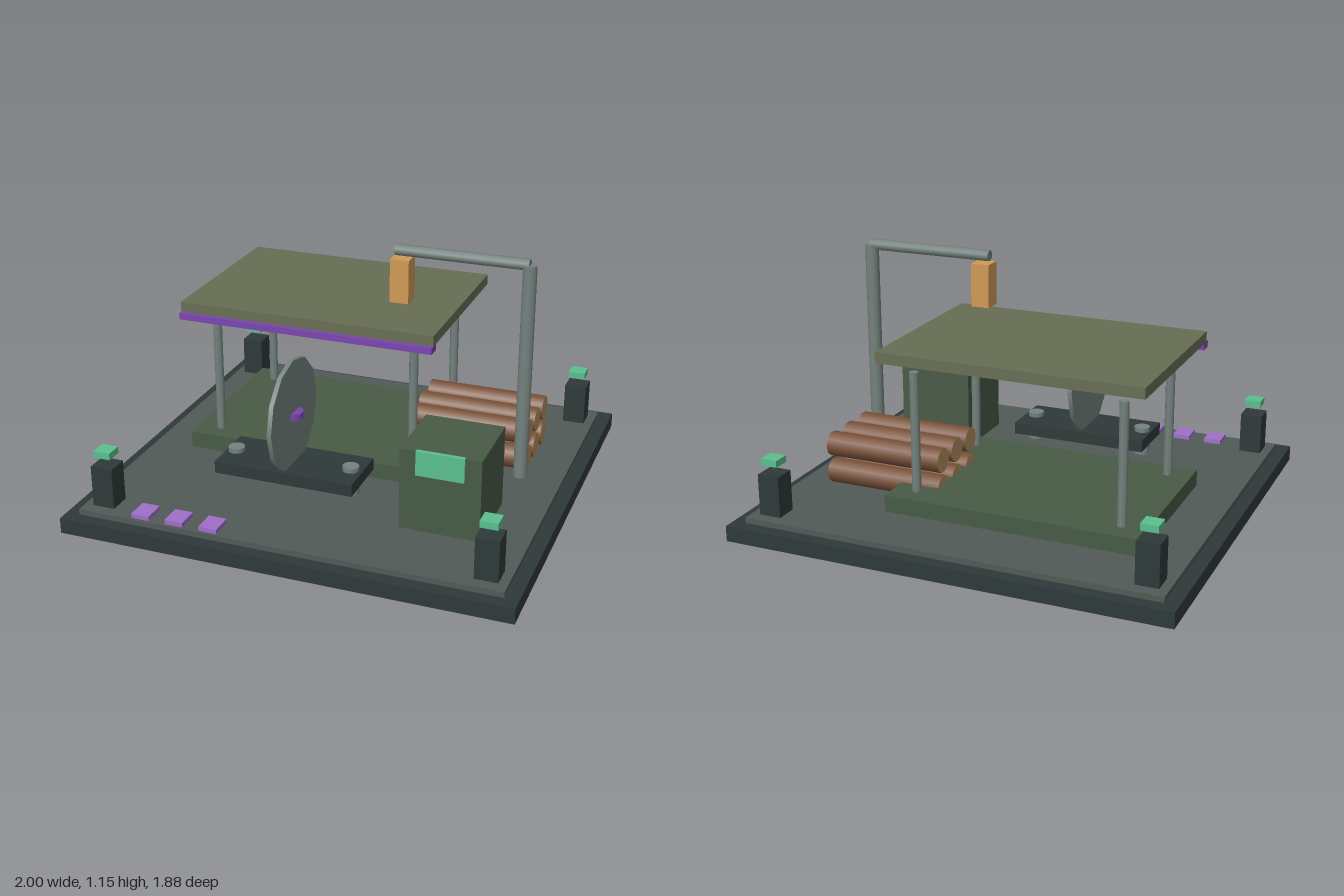
import * as THREE from 'three';

const paint = (color) => new THREE.MeshStandardMaterial({ color });

export function createModel() {
  const model = new THREE.Group();
  const dark = paint(0x2f3939), floor = paint(0x515a56), green = paint(0x485a46);
  const olive = paint(0x676e54), steel = paint(0x74827e), mint = paint(0x5abf8e);
  const purple = paint(0x7a45b0), lilac = paint(0xa06fc8), amber = paint(0xd09a55);
  const bark = paint(0x7a533b), cutWood = paint(0xb08d5c);

  // box given by its extents on each axis
  const box = (name, mat, [x0, x1], [y0, y1], [z0, z1]) => {
    const mesh = new THREE.Mesh(new THREE.BoxGeometry(x1 - x0, y1 - y0, z1 - z0), mat);
    mesh.position.set((x0 + x1) / 2, (y0 + y1) / 2, (z0 + z1) / 2);
    mesh.name = name;
    model.add(mesh);
  };
  // cylinder about its centre, standing up or lying along x
  const rod = (name, mat, r, length, sides, [x, y, z], alongX = false, turn = 0) => {
    const geo = new THREE.CylinderGeometry(r, r, length, sides).rotateY(turn);
    if (alongX) geo.rotateZ(Math.PI / 2);
    const mesh = new THREE.Mesh(geo, mat);
    mesh.position.set(x, y, z);
    mesh.name = name;
    model.add(mesh);
  };
  const around = (c, size) => [c - size / 2, c + size / 2];

  // ground slab and yard floor
  box('baseSlab', dark, [-1, 1], [0, 0.07], [-0.94, 0.94]);
  box('yardFloor', floor, [-0.94, 0.94], [0.07, 0.095], [-0.88, 0.88]);

  // corner bollards with floating lamps
  for (const x of [-0.85, 0.85]) for (const z of [-0.775, 0.775]) {
    box('bollard', dark, around(x, 0.1), [0.095, 0.28], around(z, 0.1));
    box('lamp', mint, around(x, 0.076), [0.32, 0.35], around(z, 0.076));
  }

  // shelter: deck, posts, roof and front trim
  box('deck', green, [-0.745, 0.405], [0.11, 0.185], [-0.615, 0.19]);
  for (const x of [-0.637, 0.3]) for (const z of [-0.515, 0.094]) {
    rod('roofPost', steel, 0.021, 0.63, 8, [x, 0.41, z]);
  }
  box('roof', olive, [-0.76, 0.42], [0.782, 0.83], [-0.63, 0.203]);
  box('roofTrim', purple, [-0.76, 0.42], [0.754, 0.783], [0.165, 0.225]);

  // saw bench with legs, blade and hub
  box('sawBench', dark, [-0.455, 0.18], [0.195, 0.25], [0.272, 0.54]);
  for (const x of [-0.41, 0.127]) rod('benchLeg', steel, 0.037, 0.13, 12, [x, 0.205, 0.408]);
  rod('sawBlade', steel, 0.25, 0.02, 12, [-0.14, 0.473, 0.41], true);
  rod('bladeHub', purple, 0.048, 0.03, 12, [-0.14, 0.471, 0.408]);

  // control cabinet
  box('cabinet', green, [0.4, 0.75], [0.11, 0.475], [0.22, 0.57]);
  box('cabinetScreen', mint, [0.472, 0.68], [0.37, 0.479], [0.56, 0.58]);

  // stacked logs with pale cut ends
  for (const y of [0.17, 0.297]) for (const z of [-0.13, -0.268, -0.407]) {
    rod('log', [bark, cutWood, cutWood], 0.056, 0.55, 10, [0.5, y, z], true);
  }

  // crane: mast, boom and hanging block
  rod('craneMast', steel, 0.031, 0.98, 12, [0.77, 0.632, 0]);
  rod('craneBoom', steel, 0.025, 0.59, 8, [0.475, 1.123, 0], true, Math.PI / 8);
  box('hangingBlock', amber, [0.168, 0.253], [0.895, 1.09], [-0.043, 0.043]);

  // floor pads along the front edge
  for (const x of [-0.652, -0.495, -0.337]) {
    box('floorPad', lilac, around(x, 0.082), [0.09, 0.115], [0.765, 0.867]);
  }
  return model;
}
